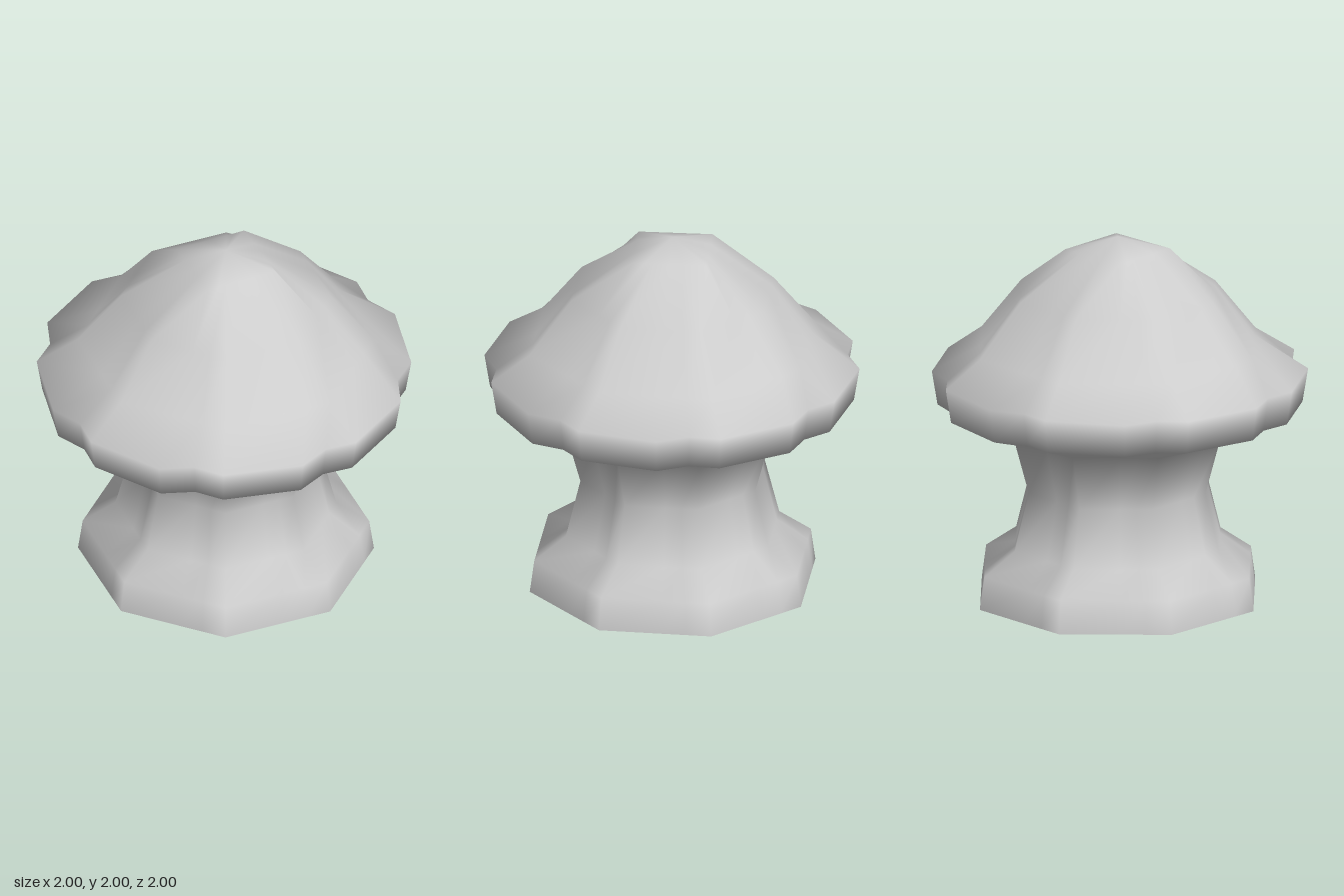
import * as THREE from 'three';

const rad = THREE.MathUtils.degToRad;

// Distance from the axis to a regular polygon's outline at a given angle (degrees)
function polygonRadius(angle, sides, phase) {
  const step = 360 / sides;
  const offset = (((angle - phase) % step) + step) % step;
  return Math.cos(rad(step / 2)) / Math.cos(rad(offset - step / 2));
}

export function createModel() {
  const group = new THREE.Group();
  const grey = new THREE.MeshStandardMaterial({ color: 0xcccccc, side: THREE.DoubleSide });
  grey.name = 'plain grey';

  // Each of the eight sectors has a corner, a notch and a second corner
  const phase = -3;
  const sector = [0, 9.5, 20];
  const scallop = [1, 0.942, 1.005];

  // Cross-sections from the open foot up to the crown: radius, height, outline
  const rings = [
    [0.79, 0, 'octagon'],
    [0.765, 0.18, 'octagon'],
    [0.59, 0.305, 'octagon'],
    [0.51, 0.62, 'octagon'],
    [0.595, 0.93, 'octagon'],
    [0.97, 1.07, 'scalloped'],
    [1.0, 1.255, 'scalloped'],
    [0.79, 1.4, 'octagon'],
    [0.56, 1.69, 'octagon'],
    [0.28, 1.93, 'square'],
  ];

  const count = 24;
  const positions = [];
  const index = [];
  for (const [radius, y, outline] of rings) {
    // The rim is centred; stem and dome lean slightly off its centre
    const shift = outline === 'scalloped' ? 0 : 0.01;
    for (let i = 0; i < count; i++) {
      const angle = phase + 45 * Math.floor(i / 3) + sector[i % 3];
      let r = radius;
      if (outline === 'scalloped') r *= scallop[i % 3];
      else if (outline === 'square') r *= polygonRadius(angle, 4, phase + 20);
      else r *= polygonRadius(angle, 8, phase);
      positions.push(r * Math.cos(rad(angle)) + shift, y, r * Math.sin(rad(angle)) - shift);
    }
  }

  // Walls between neighbouring cross-sections
  for (let j = 0; j < rings.length - 1; j++) {
    for (let i = 0; i < count; i++) {
      const a = j * count + i;
      const b = j * count + ((i + 1) % count);
      index.push(a, a + count, b, b, a + count, b + count);
    }
  }

  // Crown of the cap
  const tip = positions.length / 3;
  positions.push(0.01, 2, -0.01);
  const last = (rings.length - 1) * count;
  for (let i = 0; i < count; i++) index.push(last + i, tip, last + ((i + 1) % count));

  const geometry = new THREE.BufferGeometry();
  geometry.setAttribute('position', new THREE.Float32BufferAttribute(positions, 3));
  geometry.setIndex(index);
  geometry.computeVertexNormals();

  const mushroom = new THREE.Mesh(geometry, grey);
  mushroom.name = 'mushroomStemAndCap';
  group.add(mushroom);
  return group;
}
